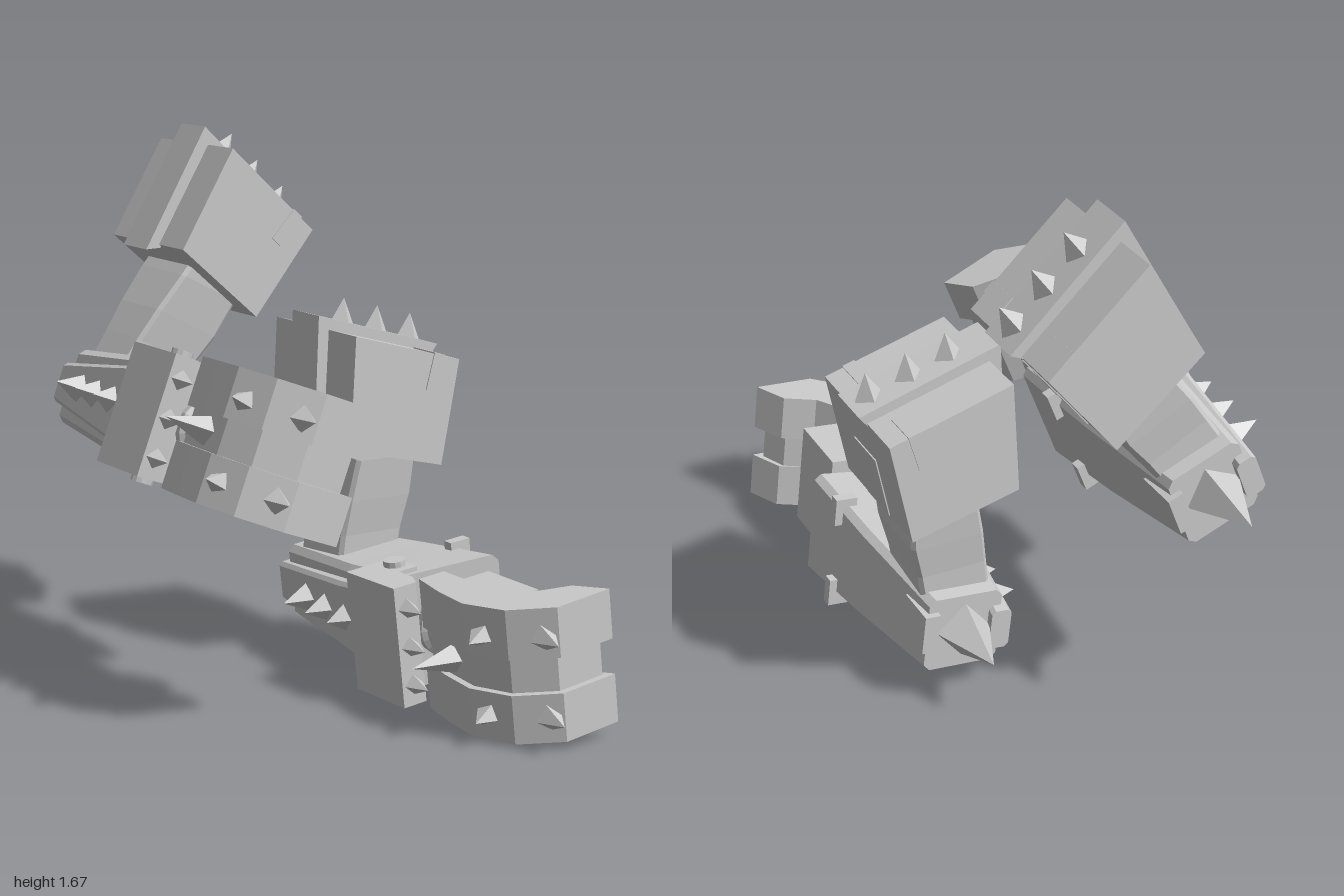
import * as THREE from 'three';

const mat = new THREE.MeshStandardMaterial({ color: 0xcccccc, flatShading: true, side: THREE.DoubleSide });

function add(parent, name, geo) {
  const m = new THREE.Mesh(geo, mat);
  m.name = name;
  parent.add(m);
  return m;
}

// box from minimum and maximum corners
function box(parent, name, [x0, y0, z0], [x1, y1, z1]) {
  const g = new THREE.BoxGeometry(x1 - x0, y1 - y0, z1 - z0);
  return add(parent, name, g.translate((x0 + x1) / 2, (y0 + y1) / 2, (z0 + z1) / 2));
}

// four-sided spike from a base point to a tip
function spike(parent, name, base, tip, r) {
  const a = new THREE.Vector3(...base), b = new THREE.Vector3(...tip);
  const d = b.clone().sub(a), len = d.length();
  const m = add(parent, name, new THREE.ConeGeometry(r, len, 4).translate(0, len / 2, 0));
  m.quaternion.setFromUnitVectors(new THREE.Vector3(0, 1, 0), d.normalize());
  m.position.copy(a);
}

// skin through rings of equal point count, closed at both ends
function loft(rings) {
  const pos = [], n = rings[0].length;
  const tri = (a, b, c) => pos.push(...a, ...b, ...c);
  for (let i = 0; i + 1 < rings.length; i++) {
    for (let j = 0; j < n; j++) {
      const k = (j + 1) % n, p = rings[i], q = rings[i + 1];
      tri(p[j], p[k], q[k]);
      tri(p[j], q[k], q[j]);
    }
  }
  const f = rings[0], l = rings[rings.length - 1];
  for (let j = 1; j < n - 1; j++) {
    tri(f[0], f[j + 1], f[j]);
    tri(l[0], l[j], l[j + 1]);
  }
  const g = new THREE.BufferGeometry();
  g.setAttribute('position', new THREE.Float32BufferAttribute(pos, 3));
  g.computeVertexNormals();
  return g;
}

// rectangle with cut corners
function cutRect(x0, x1, y0, y1, c) {
  return [[x1, y0 + c], [x1, y1 - c], [x1 - c, y1], [x0 + c, y1], [x0, y1 - c], [x0, y0 + c], [x0 + c, y0], [x1 - c, y0]];
}

function extrude(pts, depth) {
  const s = new THREE.Shape(pts.map(p => new THREE.Vector2(...p)));
  return new THREE.ExtrudeGeometry(s, { depth, bevelEnabled: false });
}

function makeShoulder() {
  const g = new THREE.Group();
  g.name = 'shoulder';
  const d = 0.455;
  add(g, 'shoulderBlock', extrude([[0, 0], [0.4, 0], [0.425, -0.335], [0.075, -0.345]], d).translate(0, 0, -d / 2));
  // raised band over the top and outer side
  add(g, 'shoulderBand', extrude([[-0.047, 0.035], [0.417, 0.03], [0.4, -0.012], [0.02, -0.012],
    [0.085, -0.35], [0.05, -0.385]], 0.15).translate(0, 0, -0.075));
  for (let i = 0; i < 3; i++) {
    const u = 0.092 + i * 0.13;
    spike(g, 'shoulderSpike', [u, 0.025, 0], [u - 0.012, 0.107, 0], 0.045);
  }
  // hooked clips on the front and back edges
  for (const s of [-1, 1]) {
    const clip = new THREE.Group();
    clip.name = 'shoulderClip';
    clip.scale.z = s;
    box(clip, 'clipTop', [0.3, -0.01, 0.115], [0.34, 0.004, 0.231]);
    box(clip, 'clipFace', [0.3, -0.115, 0.22], [0.34, 0.004, 0.231]);
    g.add(clip);
  }
  // panel low on the inner side
  const panel = box(g, 'shoulderPanel', [-0.01, -0.1, -0.075], [0.01, 0.1, 0.075]);
  panel.position.set(0.411, -0.23, 0);
  panel.rotation.z = 0.073;
  g.position.set(0.157, 1.061, -0.18);
  g.rotation.z = -0.267;
  return g;
}

function makeForearm() {
  const g = new THREE.Group();
  g.name = 'forearm';
  g.position.set(0.29, 0.217, 0);
  g.rotation.z = 0.115;

  // tapered body from elbow to wrist, its wrist end slanted
  const ring = (z, l, r, h, slant) => cutRect(l, r, -h, h, 0.02).map(([x, y]) => [x, y, z + slant * x]);
  add(g, 'forearmBody', loft([ring(-0.34, -0.12, 0.12, 0.122, 0), ring(0.05, -0.15, 0.165, 0.153, 0),
    ring(0.345, -0.15, 0.19, 0.178, 0.15)]));
  spike(g, 'elbowSpike', [0, 0.005, -0.335], [0, 0.006, -0.545], 0.09);
  box(g, 'elbowPlate', [0.09, -0.045, -0.36], [0.14, 0.08, -0.22]);

  // outer armour strip with its row of spikes
  const strip = (z, x, h) => cutRect(x - 0.035, x + 0.03, -h, h, 0.012).map(([a, b]) => [a, b, z]);
  add(g, 'armourStrip', loft([strip(-0.37, -0.108, 0.065), strip(0.05, -0.152, 0.11), strip(0.2, -0.16, 0.13)]));
  [-0.18, -0.055, 0.07].forEach((z, i) => {
    const x = -0.165 - i * 0.01;
    spike(g, 'forearmSpike', [x, 0, z], [-0.254, 0, z], 0.045);
  });

  // wrist cuff: side wall, bolted flaps and teeth
  add(g, 'cuffWall', extrude([[-0.24, -0.19], [-0.13, -0.19], [-0.13, -0.38], [-0.15, -0.425], [-0.23, -0.425]], 0.375)
    .rotateX(-Math.PI / 2).translate(0, -0.185, 0));
  for (const s of [-1, 1]) {
    box(g, 'cuffFlap', [-0.15, s * 0.175 - 0.015, 0.19], [-0.065, s * 0.175 + 0.015, 0.31]);
    add(g, 'cuffBolt', new THREE.CylinderGeometry(0.034, 0.034, 0.03, 12).translate(-0.105, s * 0.193, 0.25));
    // short clips on the inner corners
    box(g, 'forearmClip', [0.13, s * 0.145 - 0.045, 0.18], [0.2, s * 0.145 + 0.045, 0.215]);
  }
  for (const q of [-0.12, 0, 0.12]) spike(g, 'cuffTooth', [-0.19, q, 0.415], [-0.19, q, 0.5], 0.035);

  // ribbed wrist joint
  const wrist = [[0, 0.29], [0.1, 0.29], [0.1, 0.355], [0.085, 0.365], [0.085, 0.385], [0.1, 0.395],
    [0.1, 0.42], [0.085, 0.43], [0.085, 0.47], [0, 0.47]];
  add(g, 'wristJoint', new THREE.LatheGeometry(wrist.map(p => new THREE.Vector2(...p)), 20).rotateX(Math.PI / 2));

  g.add(makeFist());
  return g;
}

function makeFist() {
  const g = new THREE.Group();
  g.name = 'fist';
  box(g, 'palm', [-0.08, -0.168, 0.45], [0.095, 0.165, 0.69]);
  // curled finger guards: two full bands with a recessed one between
  const guard = [[-0.155, -0.45], [-0.18, -0.58], [-0.193, -0.715], [-0.145, -0.85], [-0.03, -0.94],
    [0.165, -0.93], [0.11, -0.83], [0.01, -0.79], [-0.065, -0.69], [-0.065, -0.45]];
  const inner = [[-0.135, -0.46], [-0.16, -0.58], [-0.172, -0.71], [-0.13, -0.835], [-0.025, -0.918],
    [0.135, -0.91], [0.095, -0.83], [0.01, -0.79], [-0.065, -0.69], [-0.065, -0.46]];
  const band = (name, pts, y0, y1) => add(g, name, extrude(pts, y1 - y0).rotateX(-Math.PI / 2).translate(0, y0, 0));
  band('upperGuard', guard, 0.057, 0.207);
  band('lowerGuard', guard, -0.197, -0.05);
  band('middleGuard', inner, -0.05, 0.057);
  // knuckle and front spikes
  spike(g, 'largeSpike', [-0.16, 0.005, 0.61], [-0.305, 0.01, 0.6], 0.045);
  for (const q of [-0.12, 0.12]) {
    spike(g, 'knuckleSpike', [-0.175, q, 0.77], [-0.24, q, 0.8], 0.035);
    spike(g, 'frontSpike', [-0.065, q, 0.91], [-0.08, q, 1.0], 0.04);
  }
  return g;
}

function makeArm(name) {
  const arm = new THREE.Group();
  arm.name = name;
  arm.add(makeShoulder());
  // gently bowed upper arm
  const rings = [[0.28, 0.17, 0.39, 0.11], [0.41, 0.185, 0.41, 0.115], [0.52, 0.2, 0.435, 0.128],
    [0.65, 0.225, 0.445, 0.14], [0.76, 0.25, 0.44, 0.14]];
  add(arm, 'upperArm', loft(rings.map(([y, l, r, h]) =>
    cutRect(l, r, -h, h, 0.012).map(([x, v]) => [x, y, -0.18 - v]))));
  arm.add(makeForearm());
  return arm;
}

export function createModel() {
  const model = new THREE.Group();
  model.name = 'armouredArms';
  const left = makeArm('leftArm');
  // same arm raised, swung outwards and set back
  const right = makeArm('rightArm');
  right.position.set(-0.637, 0.736, -0.45);
  right.rotation.z = -0.4835;
  model.add(left, right);
  return model;
}
